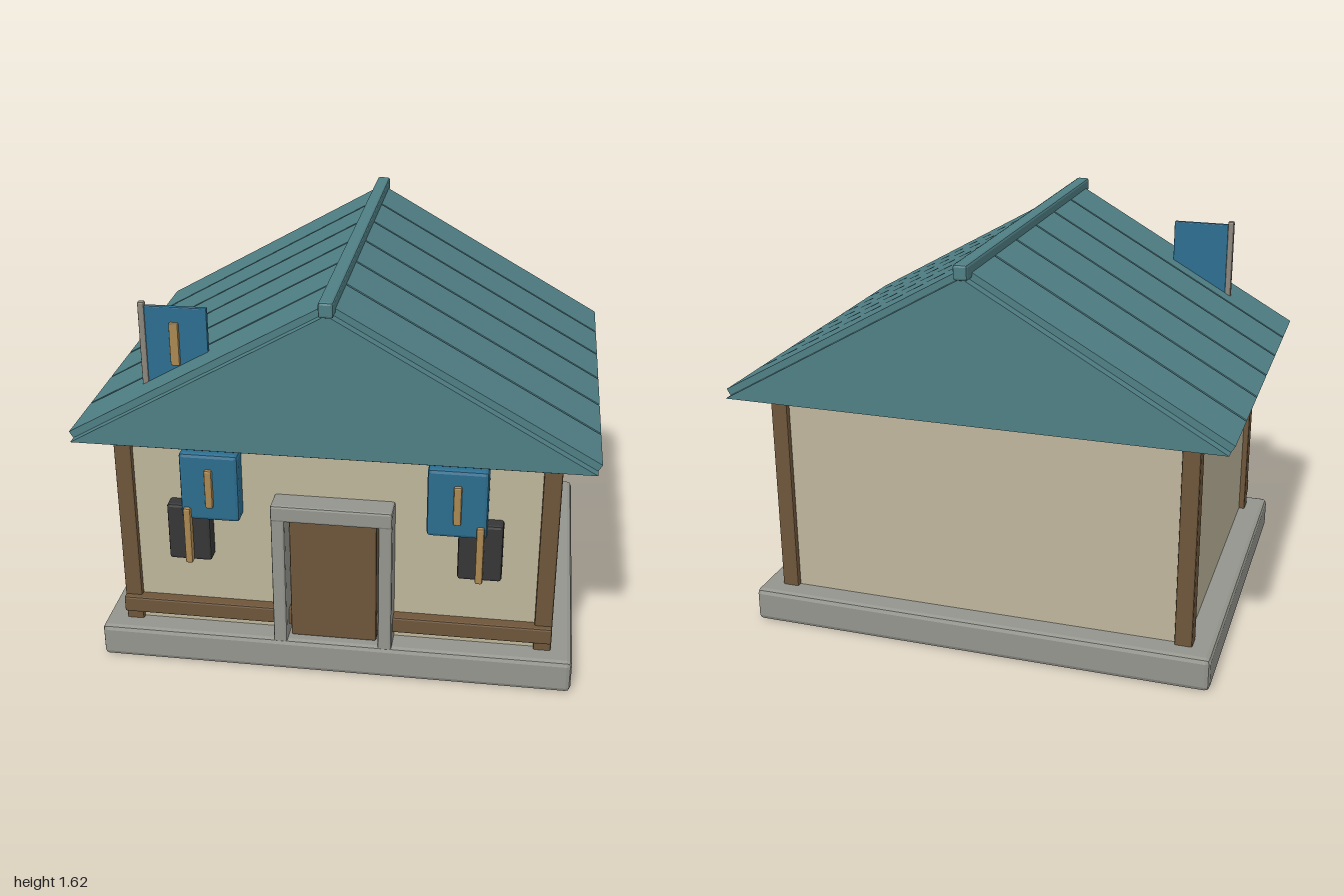
import * as THREE from 'three';
import { RoundedBoxGeometry } from 'three/addons/geometries/RoundedBoxGeometry.js';

const mat = (name, color) => {
  const m = new THREE.MeshStandardMaterial({ color });
  m.name = name;
  return m;
};

// Box with chamfered edges given by its extents on each axis
function block(name, material, [x0, x1], [y0, y1], [z0, z1], bevel = 0.008) {
  const size = [x1 - x0, y1 - y0, z1 - z0];
  const b = Math.min(bevel, Math.min(...size) * 0.4);
  const geo = b > 0 ? new RoundedBoxGeometry(...size, 1, b) : new THREE.BoxGeometry(...size);
  if (b > 0) geo.computeVertexNormals();
  const mesh = new THREE.Mesh(geo, material);
  mesh.position.set((x0 + x1) / 2, (y0 + y1) / 2, (z0 + z1) / 2);
  mesh.name = name;
  return mesh;
}

// Profile in x/y drawn out between two z values
function prism(name, material, points, z0, z1) {
  const shape = new THREE.Shape(points.map(([x, y]) => new THREE.Vector2(x, y)));
  const geo = new THREE.ExtrudeGeometry(shape, { depth: z1 - z0, bevelEnabled: false });
  geo.translate(0, 0, z0);
  const mesh = new THREE.Mesh(geo, material);
  mesh.name = name;
  return mesh;
}

function group(name, ...parts) {
  const g = new THREE.Group();
  g.name = name;
  g.add(...parts);
  return g;
}

export function createModel() {
  const stone = mat('stone', 0x93958d);
  const plaster = mat('plaster', 0xbfb69c);
  const wood = mat('darkWood', 0x6e563a);
  const teal = mat('roofTeal', 0x4f7f85);
  const blue = mat('clothBlue', 0x2b6d8f);
  const iron = mat('iron', 0x363636);
  const tan = mat('tan', 0xab8852);
  const poleGrey = mat('poleGrey', 0x8c867c);

  const model = group('house',
    block('foundation', stone, [-0.95, 0.95], [0, 0.14], [-0.77, 0.77], 0.02),
    block('walls', plaster, [-0.84, 0.84], [0.13, 1.0], [-0.67, 0.67], 0),
  );

  // Timber frame: corner posts and two front beams
  const frame = group('timberFrame',
    block('topBeam', wood, [-0.865, 0.865], [0.94, 1.0], [0.66, 0.717]),
    block('lowerBeam', wood, [-0.865, 0.865], [0.183, 0.253], [0.66, 0.717]),
  );
  for (const sx of [-1, 1]) for (const sz of [-1, 1]) {
    const x = 0.83 * sx, z = 0.655 * sz;
    frame.add(block('cornerPost', wood, [x - 0.035, x + 0.035], [0.13, 1.0], [z - 0.037, z + 0.037]));
  }
  model.add(frame);

  // Door with stone surround
  model.add(group('doorway',
    block('door', wood, [-0.172, 0.172], [0.14, 0.682], [0.66, 0.725]),
    block('leftJamb', stone, [0.182, 0.237], [0.125, 0.72], [0.65, 0.765], 0.01),
    block('rightJamb', stone, [-0.237, -0.182], [0.125, 0.72], [0.65, 0.765], 0.01),
    block('lintel', stone, [-0.237, 0.237], [0.682, 0.752], [0.65, 0.77], 0.01),
  ));

  // Hanging cloths and iron plates, mirrored on the front wall
  for (const s of [-1, 1]) {
    const span = (a, b) => (s > 0 ? [a, b] : [-b, -a]);
    model.add(group(s > 0 ? 'leftHanging' : 'rightHanging',
      block('cloth', blue, span(0.363, 0.595), [0.65, 0.937], [0.66, 0.739], 0.015),
      block('clothStripe', tan, span(0.464, 0.495), [0.71, 0.875], [0.73, 0.753]),
      block('ironPlate', iron, span(0.485, 0.657), [0.46, 0.705], [0.66, 0.727], 0.012),
      block('plateStripe', tan, span(0.555, 0.585), [0.46, 0.705], [0.72, 0.755]),
    ));
  }

  // Roof core, six folded panels with narrow gaps, and ridge cap
  const roof = group('roof',
    prism('roofCore', teal, [[-0.985, 1.0], [0.985, 1.0], [0, 1.562]], -0.825, 0.825),
    block('ridgeCap', teal, [-0.028, 0.028], [1.555, 1.615], [-0.84, 0.84], 0.01),
  );
  const fold = [[-0.985, 0.999], [0, 1.556], [0.985, 0.999], [1.0, 1.025], [0, 1.592], [-1.0, 1.025]];
  const pitch = 0.264;
  for (let i = 0; i < 6; i++) {
    const z = (i - 2.5) * pitch;
    roof.add(prism('roofPanel', teal, fold, z - 0.126, z + 0.126));
  }
  model.add(roof);

  // Banner on a pole rising through the roof
  model.add(group('banner',
    block('pole', poleGrey, [-0.747, -0.72], [1.0, 1.505], [0.607, 0.634]),
    block('bannerCloth', blue, [-0.722, -0.483], [1.16, 1.49], [0.61, 0.631], 0.004),
    block('bannerStripe', tan, [-0.627, -0.592], [1.26, 1.43], [0.626, 0.646], 0.004),
  ));

  return model;
}
